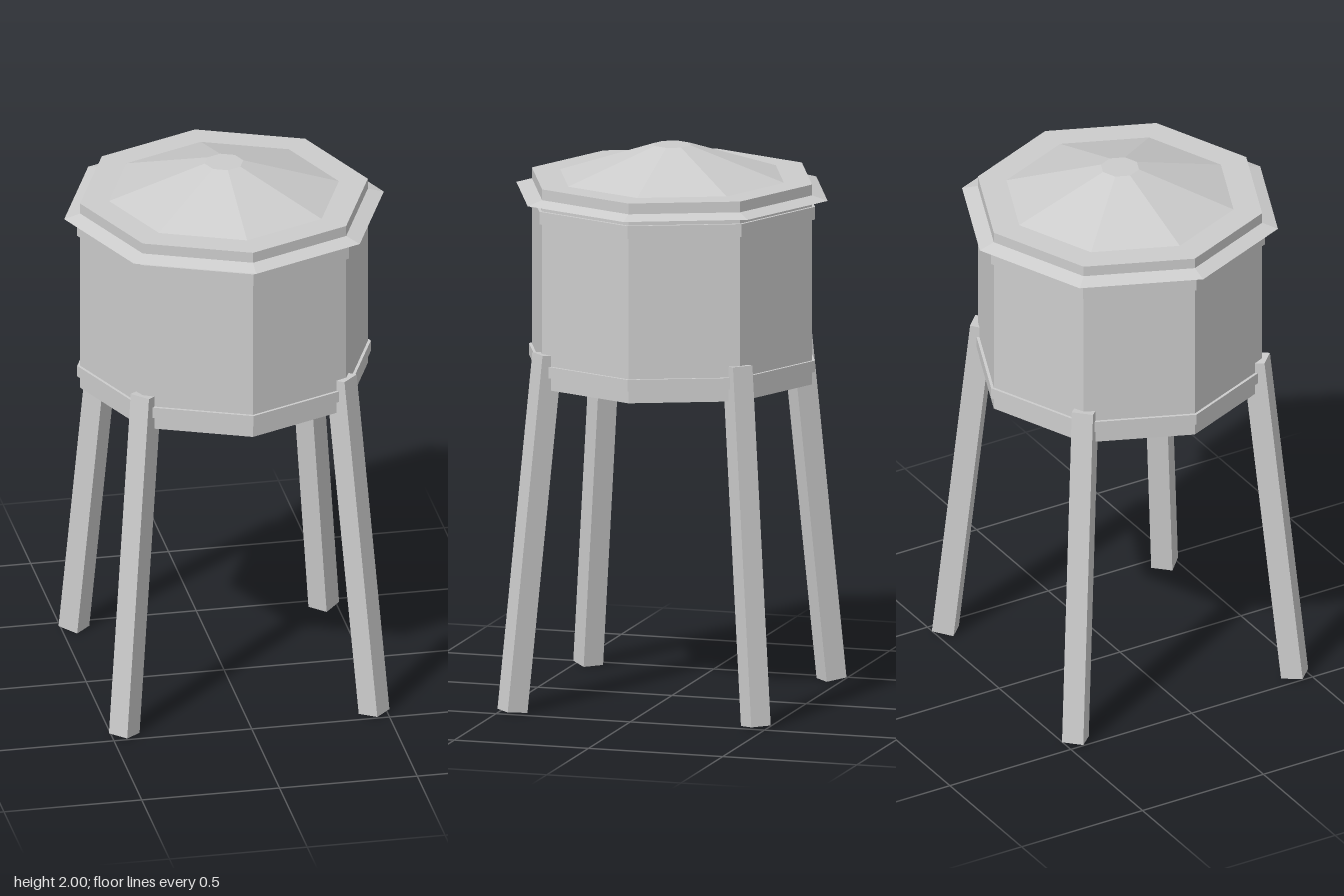
import * as THREE from 'three';

export function createModel() {
  const model = new THREE.Group();
  model.name = 'waterTower';
  const grey = new THREE.MeshStandardMaterial({ color: 0xcccccc, flatShading: true });
  grey.name = 'plain grey';

  // Eight-sided ring or drum between two heights, corners on the axes
  function octagon(name, bottomRadius, topRadius, y0, y1) {
    const geometry = new THREE.CylinderGeometry(topRadius, bottomRadius, y1 - y0, 8);
    const mesh = new THREE.Mesh(geometry, grey);
    mesh.name = name;
    mesh.position.y = (y0 + y1) / 2;
    model.add(mesh);
  }

  octagon('tank', 0.522, 0.522, 1.16, 1.885);
  octagon('lowerBand', 0.533, 0.533, 1.206, 1.247);
  octagon('upperBand', 0.533, 0.533, 1.759, 1.805);
  octagon('brim', 0.58, 0.515, 1.829, 1.848);
  octagon('roof', 0.417, 0.07, 1.885, 2.0);

  // Four splayed legs, set under the diagonal corners of the tank
  const tilt = 0.109;
  for (let i = 0; i < 4; i++) {
    const leg = new THREE.Group();
    leg.name = 'leg' + (i + 1);
    leg.rotation.y = Math.PI / 4 + (i * Math.PI) / 2;
    const post = new THREE.Mesh(new THREE.BoxGeometry(0.078, 1.289, 0.08), grey);
    post.name = 'legPost';
    post.position.set(0, 0.645, 0.571);
    post.rotation.x = -tilt;
    leg.add(post);
    model.add(leg);
  }
  return model;
}
